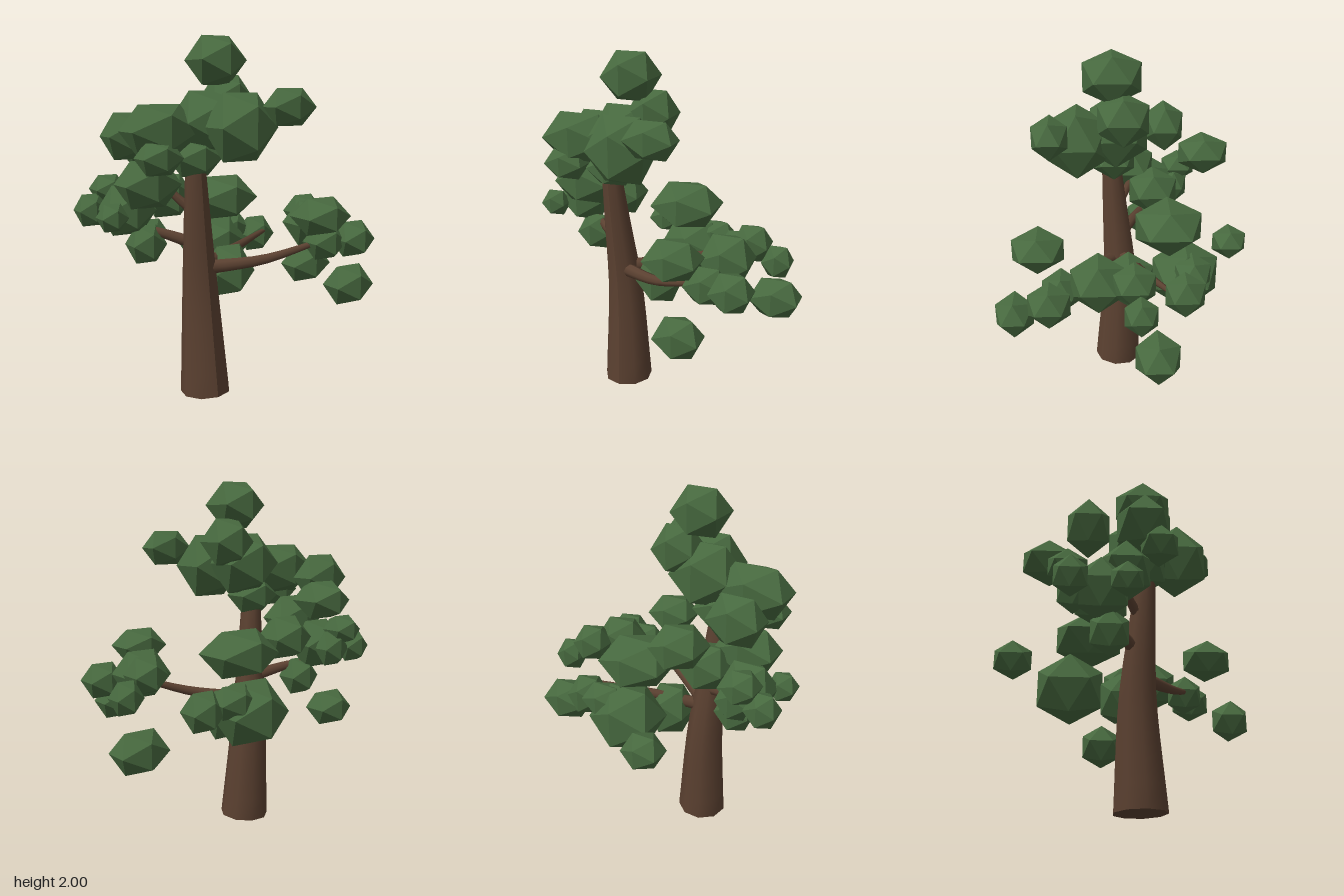
import * as THREE from 'three';

const bark = new THREE.MeshStandardMaterial({ color: 0x5a4030, side: THREE.DoubleSide });
const leaf = new THREE.MeshStandardMaterial({ color: 0x47693f, flatShading: true });

// Tapered tube along a curve, closed at both ends by fans over its end rings
function limb(name, points, radii, sides = 8, steps = 8) {
  const curve = new THREE.CatmullRomCurve3(points.map(p => new THREE.Vector3(...p)));
  const tube = new THREE.TubeGeometry(curve, steps, 1, sides);
  const pos = tube.attributes.position;
  const v = new THREE.Vector3();
  for (let i = 0; i <= steps; i++) {
    const center = curve.getPointAt(i / steps);
    const radius = THREE.MathUtils.lerp(radii[0], radii[1], i / steps);
    for (let j = 0; j <= sides; j++) {
      const k = i * (sides + 1) + j;
      v.fromBufferAttribute(pos, k).sub(center).multiplyScalar(radius).add(center);
      pos.setXYZ(k, v.x, v.y, v.z);
    }
  }
  tube.computeVertexNormals();

  const fan = [];
  const last = steps * (sides + 1);
  for (let j = 1; j < sides - 1; j++) {
    fan.push(0, j, j + 1, last, last + j + 1, last + j);
  }
  const indexedCaps = tube.clone();
  indexedCaps.setIndex(fan);
  const caps = indexedCaps.toNonIndexed();
  caps.computeVertexNormals();

  const group = new THREE.Group();
  group.name = name;
  const side = new THREE.Mesh(tube, bark);
  side.name = name + 'Bark';
  const ends = new THREE.Mesh(caps, bark);
  ends.name = name + 'Ends';
  group.add(side, ends);
  return group;
}

// Faceted leaf clumps: centre x, y, z then half extents in x, y, z
function foliage(name, clumps) {
  const group = new THREE.Group();
  group.name = name;
  const reach = 0.8507; // axis extent of a unit icosahedron
  for (const [x, y, z, hx, hy, hz] of clumps) {
    const mesh = new THREE.Mesh(new THREE.IcosahedronGeometry(1, 0), leaf);
    mesh.name = 'leafClump';
    mesh.position.set(x, y, z);
    mesh.scale.set(hx, hy, hz).divideScalar(reach);
    group.add(mesh);
  }
  return group;
}

export function createModel() {
  const tree = new THREE.Group();
  tree.name = 'tree';

  // Trunk and branches
  tree.add(
    limb('trunk', [[-0.2, 0.005, 0.05], [-0.22, 0.6, 0.035], [-0.25, 1, 0.06], [-0.27, 1.29, 0.08]], [0.143, 0.058], 9, 10),
    limb('frontBranch', [[-0.18, 0.735, 0.08], [0.07, 0.78, 0.24], [0.37, 0.88, 0.38]], [0.04, 0.014]),
    limb('leftBranch', [[-0.2, 0.74, 0.03], [0.08, 0.79, -0.08], [0.37, 0.84, -0.21]], [0.04, 0.014]),
    limb('rightBranch', [[-0.23, 0.86, 0.04], [-0.43, 0.935, -0.1], [-0.6, 0.97, -0.24]], [0.038, 0.014]),
    limb('upperBranch', [[-0.25, 1.04, 0.06], [-0.34, 1.13, -0.01], [-0.42, 1.24, -0.08]], [0.032, 0.014]),
  );

  // Crown around the trunk top
  tree.add(foliage('crownFoliage', [
    [-0.143, 1.87, 0.077, 0.137, 0.13, 0.16],
    [-0.04, 1.665, 0.02, 0.125, 0.13, 0.14],
    [0.11, 1.625, 0.41, 0.133, 0.098, 0.095],
    [-0.11, 1.52, 0.275, 0.17, 0.18, 0.17],
    [-0.19, 1.54, 0.06, 0.175, 0.17, 0.18],
    [-0.475, 1.5, 0.06, 0.195, 0.14, 0.145],
    [-0.27, 1.35, 0.07, 0.13, 0.1, 0.12],
    [-0.52, 1.365, 0.14, 0.115, 0.09, 0.1],
    [-0.5, 1.21, -0.04, 0.165, 0.13, 0.13],
    [-0.52, 1.46, -0.24, 0.142, 0.13, 0.112],
    [-0.32, 1.36, -0.455, 0.128, 0.1, 0.142],
  ]));

  // Right-hand cluster
  tree.add(foliage('rightFoliage', [
    [-0.32, 1.12, -0.165, 0.13, 0.12, 0.14],
    [-0.57, 1.06, -0.17, 0.14, 0.14, 0.14],
    [-0.61, 1.16, -0.34, 0.09, 0.08, 0.1],
    [-0.56, 1.05, -0.31, 0.09, 0.1, 0.08],
    [-0.72, 1.05, -0.32, 0.085, 0.09, 0.085],
    [-0.71, 1.045, -0.04, 0.075, 0.075, 0.08],
    [-0.48, 0.865, -0.12, 0.1, 0.107, 0.1],
  ]));

  // Front cluster
  tree.add(foliage('frontFoliage', [
    [0.265, 1.045, 0.49, 0.14, 0.1, 0.14],
    [0.35, 0.69, 0.63, 0.12, 0.104, 0.103],
    [0.555, 0.88, 0.42, 0.107, 0.1, 0.11],
    [0.4, 0.87, 0.365, 0.11, 0.1, 0.1],
    [0.45, 0.945, 0.165, 0.138, 0.133, 0.145],
  ]));

  // Left and back cluster
  tree.add(foliage('leftFoliage', [
    [0.535, 0.98, -0.02, 0.1, 0.1, 0.11],
    [0.675, 0.88, -0.05, 0.08, 0.09, 0.085],
    [0.655, 0.61, -0.14, 0.142, 0.112, 0.117],
    [0.37, 0.81, -0.305, 0.1, 0.107, 0.108],
    [0.21, 0.85, -0.36, 0.12, 0.09, 0.1],
    [0.08, 0.77, -0.33, 0.185, 0.172, 0.185],
    [0.07, 1.075, -0.23, 0.19, 0.128, 0.185],
    [-0.01, 0.68, -0.01, 0.125, 0.145, 0.145],
    [-0.215, 0.815, -0.63, 0.103, 0.087, 0.1],
  ]));

  return tree;
}
